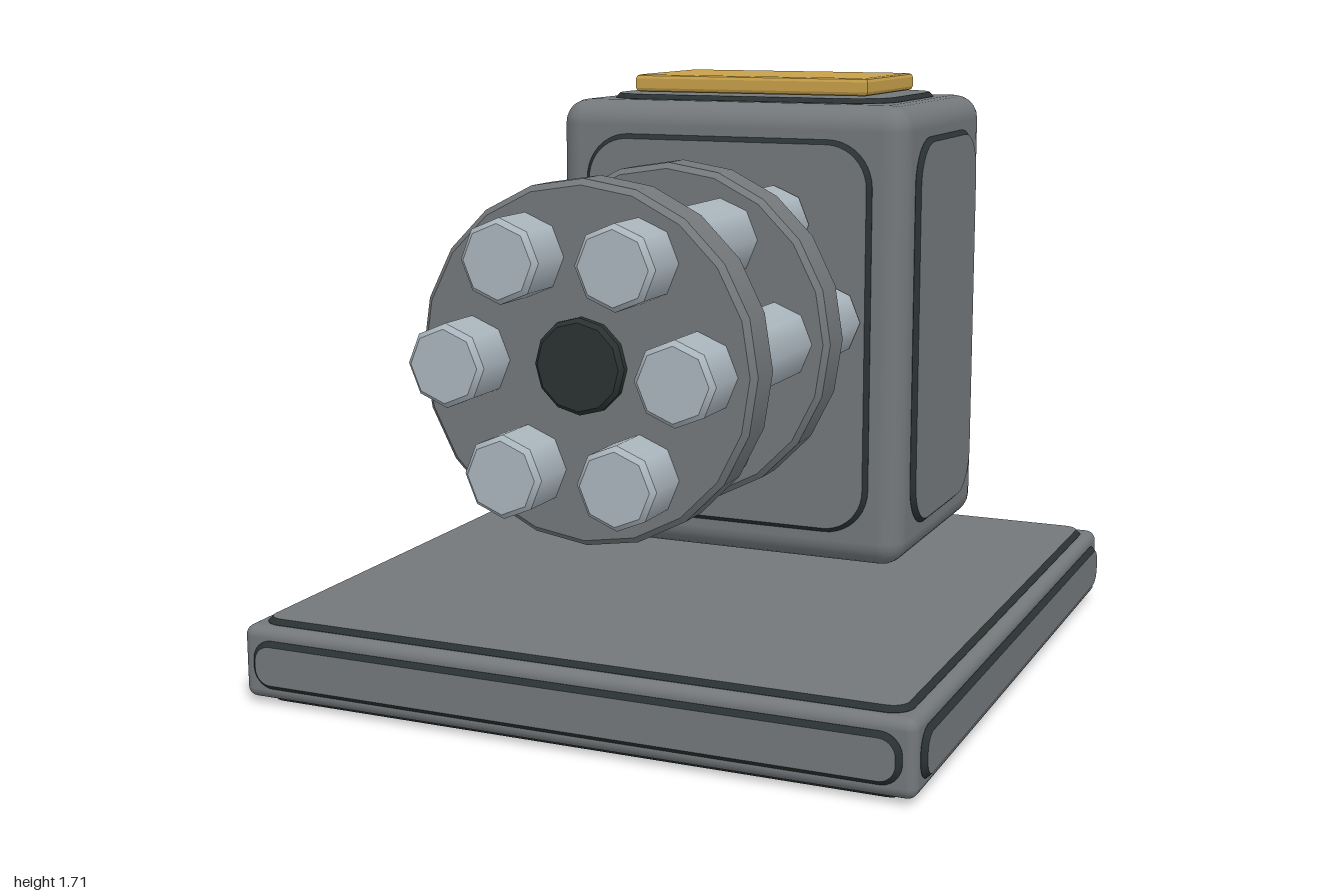
import * as THREE from 'three';
import { mergeGeometries } from 'three/addons/utils/BufferGeometryUtils.js';
import { RoundedBoxGeometry } from 'three/addons/geometries/RoundedBoxGeometry.js';

const mat = (name, color) => {
  const m = new THREE.MeshStandardMaterial({ color });
  m.name = name;
  return m;
};

export function createModel() {
  const grey = mat('gunmetal grey', 0x74787b);
  const dark = mat('dark steel', 0x2a3231);
  const steel = mat('light steel', 0xabb6be);
  const gold = mat('gold', 0xc8a14a);

  const model = new THREE.Group();
  model.name = 'rotaryTurret';

  const add = (parent, name, geometry, material, x = 0, y = 0, z = 0) => {
    const mesh = new THREE.Mesh(geometry, material);
    mesh.name = name;
    mesh.position.set(x, y, z);
    parent.add(mesh);
    return mesh;
  };

  // Raised rounded plate facing +z: grey face, dark bevelled rim
  const RAISE = 0.015, BEVEL = 0.014;
  function panelGeometry(w, h, corner, distance) {
    const a = w / 2 - BEVEL, b = h / 2 - BEVEL;
    const r = Math.min(corner, w / 2, h / 2) - BEVEL;
    const s = new THREE.Shape();
    s.absarc(a - r, b - r, r, 0, Math.PI / 2);
    s.absarc(r - a, b - r, r, Math.PI / 2, Math.PI);
    s.absarc(r - a, r - b, r, Math.PI, Math.PI * 1.5);
    s.absarc(a - r, r - b, r, Math.PI * 1.5, Math.PI * 2);
    const depth = 0.01;
    const g = new THREE.ExtrudeGeometry(s, {
      depth, bevelSize: BEVEL, bevelThickness: BEVEL, bevelSegments: 1, curveSegments: 5,
    });
    return g.translate(0, 0, distance + RAISE - depth - BEVEL);
  }

  // Rounded box carrying a raised panel on each of its six faces
  function panelledBox(name, [w, h, d], [x, y, z], radius, inset, corner) {
    const group = new THREE.Group();
    group.name = name;
    group.position.set(x, y, z);
    add(group, name + 'Body', new RoundedBoxGeometry(w, h, d, 3, radius), grey);
    const q = Math.PI / 2;
    const faces = [
      ['Front', w, h, d, 0, 0], ['Back', w, h, d, 0, 2 * q],
      ['Left', d, h, w, 0, q], ['Right', d, h, w, 0, -q],
      ['Top', w, d, h, -q, 0], ['Bottom', w, d, h, q, 0],
    ];
    for (const [side, fw, fh, fd, rx, ry] of faces) {
      const g = panelGeometry(fw - 2 * inset, fh - 2 * inset, corner, fd / 2);
      add(group, name + side + 'Panel', g, [grey, dark]).rotation.set(rx, ry, 0);
    }
    model.add(group);
  }

  // Cylinder along z with chamfered ends
  function chamferedRod(radius, z0, z1, chamfer, sides) {
    const len = z1 - z0, end = len / 2 - chamfer / 2;
    const body = new THREE.CylinderGeometry(radius, radius, len - 2 * chamfer, sides, 1, true);
    const front = new THREE.CylinderGeometry(radius - chamfer, radius, chamfer, sides).translate(0, end, 0);
    const back = new THREE.CylinderGeometry(radius, radius - chamfer, chamfer, sides).translate(0, -end, 0);
    return mergeGeometries([body, front, back])
      .rotateX(Math.PI / 2).translate(0, 0, (z0 + z1) / 2);
  }

  // Base plate and housing
  panelledBox('base', [1.97, 0.21, 1.97], [0, 0.12, 0], 0.03, 0.035, 0.06);
  panelledBox('housing', [1.13, 1.39, 0.815], [0, 0.945, -0.573], 0.075, 0.1, 0.14);

  // Gold lid plate with chamfered edges
  const lid = new THREE.Shape();
  lid.moveTo(-0.371, -0.213).lineTo(0.371, -0.213).lineTo(0.371, 0.213).lineTo(-0.371, 0.213);
  const lidGeometry = new THREE.ExtrudeGeometry(lid, {
    depth: 0.03, bevelSize: 0.012, bevelThickness: 0.012, bevelSegments: 2,
  }).rotateX(-Math.PI / 2);
  add(model, 'lidPlate', lidGeometry, gold, 0, 1.67, -0.575);

  // Barrel cluster: hub, two clamp discs and six barrels in a ring
  const cluster = new THREE.Group();
  cluster.name = 'barrelCluster';
  cluster.position.y = 1.005;
  model.add(cluster);
  add(cluster, 'hub', chamferedRod(0.13, -0.17, 0.84, 0.012, 12), dark);
  add(cluster, 'frontDisc', chamferedRod(0.49, 0.675, 0.81, 0.016, 20), grey);
  add(cluster, 'rearDisc', chamferedRod(0.49, 0.135, 0.27, 0.016, 20), grey);
  const barrel = chamferedRod(0.113, -0.155, 0.965, 0.014, 8);
  for (let i = 0; i < 6; i++) {
    const a = i * Math.PI / 3;
    add(cluster, 'barrel' + (i + 1), barrel, steel, 0.328 * Math.cos(a), 0.328 * Math.sin(a), 0);
  }

  return model;
}
